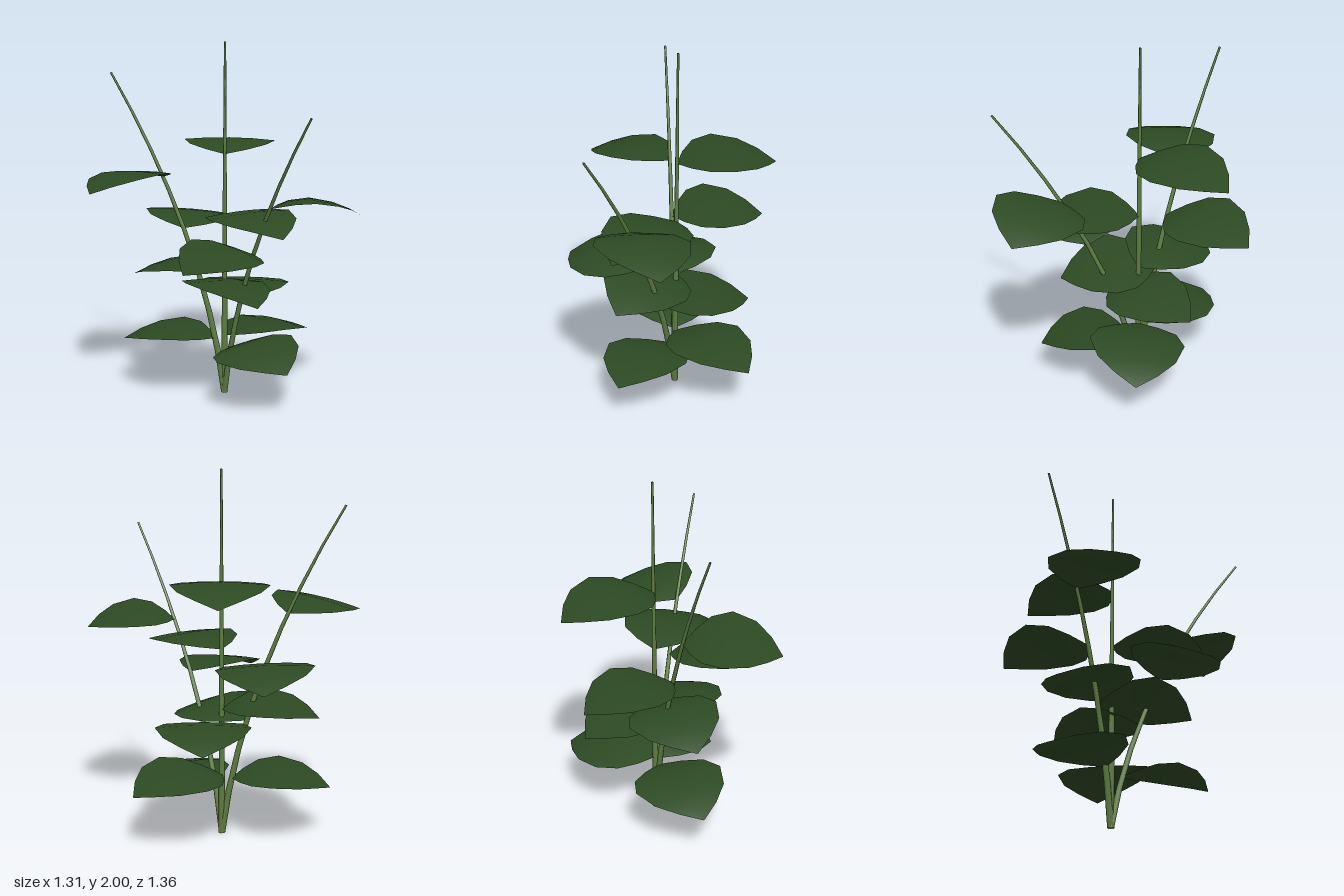
import * as THREE from 'three';

const leafGreen = new THREE.MeshStandardMaterial({ color: 0x2d4a23, side: THREE.DoubleSide });
leafGreen.name = 'leaf green';
const stemGreen = new THREE.MeshStandardMaterial({ color: 0x5f7f43, side: THREE.DoubleSide });
stemGreen.name = 'stem green';

const BASE = new THREE.Vector3(0.11, 0, -0.09);

// Point on a stem at height y: the lean grows towards the tip
function stemPoint(tip, y) {
  const t = y / tip.y;
  const f = 0.36 * t + 0.64 * t * t;
  return new THREE.Vector3(
    BASE.x + (tip.x - BASE.x) * f, y, BASE.z + (tip.z - BASE.z) * f);
}

// Tapered tube following the stem
function stemGeometry(tip) {
  const rows = 8, sides = 6;
  const points = [];
  for (let i = 0; i <= rows; i++) points.push(stemPoint(tip, tip.y * i / rows));
  const curve = new THREE.CatmullRomCurve3(points);
  const geo = new THREE.TubeGeometry(curve, rows, 1, sides);
  const pos = geo.attributes.position;
  const v = new THREE.Vector3();
  for (let i = 0; i <= rows; i++) {
    const centre = curve.getPointAt(i / rows);
    const radius = THREE.MathUtils.lerp(0.019, 0.006, i / rows);
    for (let j = 0; j <= sides; j++) {
      const k = i * (sides + 1) + j;
      v.fromBufferAttribute(pos, k).sub(centre).multiplyScalar(radius).add(centre);
      pos.setXYZ(k, v.x, Math.max(0, v.y), v.z);
    }
  }
  return geo;
}

// Leaf cross-sections: share of length, half width, height of the midrib
const SECTIONS = [
  [0, 0.004, 0], [0.1, 0.115, 0.02], [0.24, 0.215, 0.045], [0.45, 0.26, 0.058],
  [0.7, 0.21, 0.035], [0.87, 0.115, 0.002], [1, 0.003, -0.035],
];

// Broad arched blade along +x; roll lifts its +z edge
function leafGeometry(length, roll) {
  const cols = 4, position = [], index = [];
  SECTIONS.forEach(([t, half, rise], i) => {
    for (let j = 0; j <= cols; j++) {
      const s = j / cols * 2 - 1;
      const z = s * half;
      position.push(t * length, rise - 0.2 * z * z + roll * z / 0.52, z);
      if (i < SECTIONS.length - 1 && j < cols) {
        const a = i * (cols + 1) + j, c = a + cols + 1;
        index.push(a, a + 1, c, a + 1, c + 1, c);
      }
    }
  });
  const geo = new THREE.BufferGeometry();
  geo.setAttribute('position', new THREE.Float32BufferAttribute(position, 3));
  geo.setIndex(index);
  geo.computeVertexNormals();
  return geo;
}

// Each leaf: height on the stem, heading in degrees (from +x towards +z), length, roll
const STEMS = [
  { name: 'centreStem', tip: [0.11, 2, -0.09], leaves: [
    [0.34, 2, 0.55, 0.05], [0.71, 222, 0.53, -0.03], [1.04, 86, 0.55, 0], [1.385, 306, 0.55, 0]] },
  { name: 'backStem', tip: [-0.37, 1.82, -0.53], leaves: [
    [0.32, 221, 0.54, -0.02], [0.65, 84, 0.53, 0.07], [0.955, 307, 0.53, -0.03], [1.245, 166, 0.515, -0.055]] },
  { name: 'frontStem', tip: [0.175, 1.66, 0.665], leaves: [
    [0.29, 82, 0.49, -0.06], [0.59, 304, 0.52, 0], [0.87, 169, 0.49, 0.055], [1.145, 28, 0.485, 0.07]] },
];

export function createModel() {
  const plant = new THREE.Group();
  plant.name = 'plant';
  for (const { name, tip, leaves } of STEMS) {
    const tipPoint = new THREE.Vector3(...tip);
    const branch = new THREE.Group();
    branch.name = name + 'WithLeaves';
    const stem = new THREE.Mesh(stemGeometry(tipPoint), stemGreen);
    stem.name = name;
    branch.add(stem);
    leaves.forEach(([y, heading, length, roll], i) => {
      const leaf = new THREE.Mesh(leafGeometry(length, roll), leafGreen);
      leaf.name = 'leaf' + (i + 1);
      leaf.position.copy(stemPoint(tipPoint, y));
      leaf.rotation.y = -THREE.MathUtils.degToRad(heading);
      branch.add(leaf);
    });
    plant.add(branch);
  }
  return plant;
}
